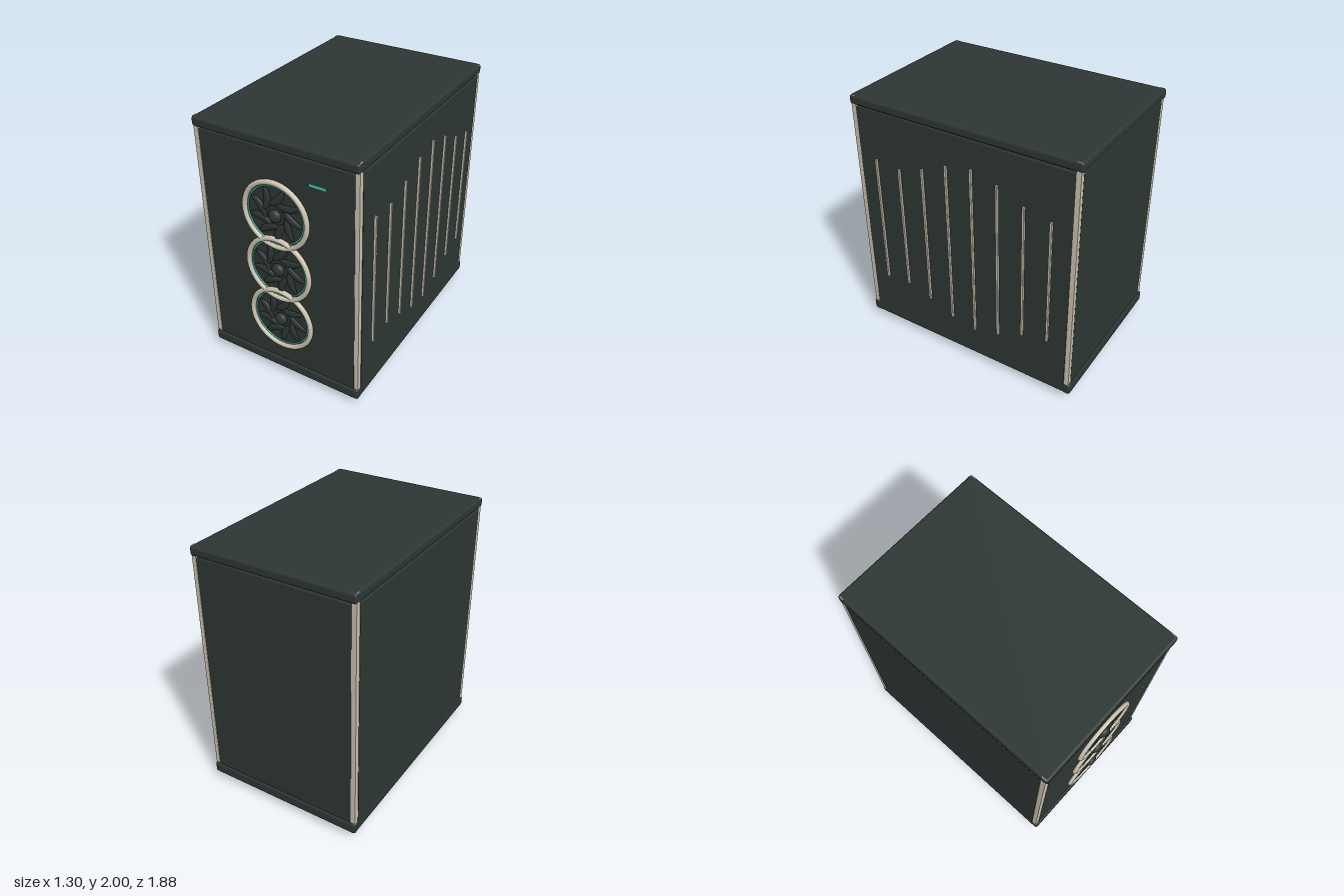
import * as THREE from 'three';
import { RoundedBoxGeometry } from 'three/addons/geometries/RoundedBoxGeometry.js';

const mat = (name, color) => {
  const m = new THREE.MeshStandardMaterial({ color });
  m.name = name;
  return m;
};

export function createModel() {
  const shell = mat('charcoal', 0x2e3735);
  const cream = mat('cream', 0xcfc4b2);
  const teal = mat('teal', 0x4fc4b7);
  const model = new THREE.Group();
  model.name = 'computerCase';

  const add = (name, geometry, material, x, y, z, parent = model) => {
    const mesh = new THREE.Mesh(geometry, material);
    mesh.name = name;
    mesh.position.set(x, y, z);
    parent.add(mesh);
    return mesh;
  };
  // Box given by its limits; rounded when a radius is given
  const block = (name, material, [x0, x1], [y0, y1], [z0, z1], r = 0) => {
    const size = [x1 - x0, y1 - y0, z1 - z0];
    const g = r ? new RoundedBoxGeometry(...size, 4, r) : new THREE.BoxGeometry(...size);
    return add(name, g, material, (x0 + x1) / 2, (y0 + y1) / 2, (z0 + z1) / 2);
  };

  // Lids, core and panels
  block('topCap', shell, [-0.652, 0.636], [1.928, 2], [-0.94, 0.909], 0.02);
  block('bottomCap', shell, [-0.652, 0.636], [0.055, 0.145], [-0.94, 0.909], 0.02);
  block('core', shell, [-0.625, 0.61], [0.1, 1.96], [-0.9, 0.87]);
  block('frontPanel', shell, [-0.61, 0.598], [0.12, 1.915], [0.84, 0.894], 0.006);
  block('backPanel', shell, [-0.61, 0.598], [0.12, 1.915], [-0.926, -0.87], 0.006);
  block('rightPanel', shell, [-0.65, -0.6], [0.12, 1.92], [-0.888, 0.856], 0.006);
  block('leftPanel', shell, [0.59, 0.635], [0.12, 1.92], [-0.888, 0.856], 0.006);

  // Corner trim, just showing through the rounded edges of the lids
  for (const x of [[-0.647, -0.61], [0.598, 0.631]])
    for (const z of [[0.856, 0.893], [-0.925, -0.888]])
      block('cornerTrim', cream, x, [0.057, 1.998], z);

  // Feet
  const footGeo = new THREE.CylinderGeometry(0.039, 0.047, 0.07, 24);
  for (const x of [-0.485, 0.47])
    for (const z of [0.596, -0.628]) add('foot', footGeo, shell, x, 0.035, z);

  // Vertical ribs of varying length on the left side
  [0.533, 0.515, 0.58, 0.668, 0.705, 0.65, 0.555, 0.51].forEach((half, i) => {
    const z = 0.707 - i * 0.2066;
    block('sideRib', cream, [0.625, 0.652], [1.007 - half, 1.007 + half], [z - 0.009, z + 0.009], 0.004);
  });

  // Fans
  const ringGeo = new THREE.TorusGeometry(0.251, 0.019, 12, 64);
  const glowGeo = new THREE.TorusGeometry(0.224, 0.006, 8, 64);
  const hubGeo = new THREE.SphereGeometry(0.05, 24, 16);
  // Curved leaf: a flattened sphere bent sideways along its length
  const bladeGeo = new THREE.SphereGeometry(1, 20, 14);
  bladeGeo.scale(0.028, 0.092, 0.014);
  const p = bladeGeo.attributes.position;
  for (let i = 0; i < p.count; i++) p.setX(i, p.getX(i) - 2.2 * p.getY(i) ** 2);
  bladeGeo.computeVertexNormals();

  for (const y of [1.43, 0.986, 0.542]) {
    const fan = new THREE.Group();
    fan.name = 'fan';
    fan.position.set(-0.008, y, 0.894);
    model.add(fan);
    add('fanRing', ringGeo, cream, 0, 0, 0.008, fan);
    add('glowRing', glowGeo, teal, 0, 0, 0.006, fan);
    add('hub', hubGeo, shell, 0, 0, 0.014, fan).scale.z = 0.64;
    const blades = 9;
    for (let i = 0; i < blades; i++) {
      const a = (i / blades) * Math.PI * 2;
      const blade = add('blade', bladeGeo, shell, Math.cos(a) * 0.125, Math.sin(a) * 0.125, 0.005, fan);
      blade.rotation.z = a - Math.PI / 2 - 0.6;
    }
  }

  // Indicator light standing just off the front
  block('indicatorLight', teal, [0.285, 0.415], [1.759, 1.783], [0.926, 0.931]);

  return model;
}
